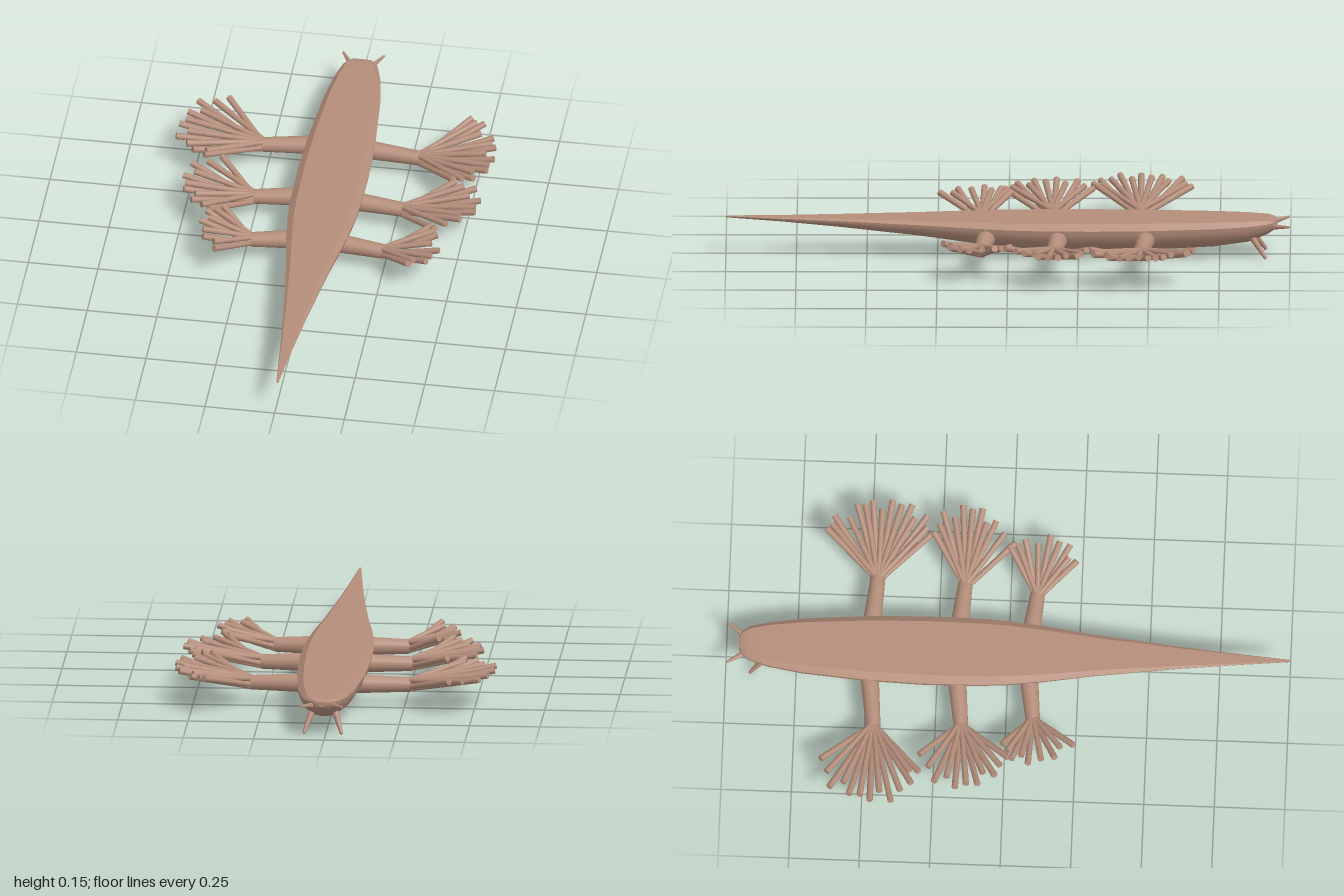
import * as THREE from 'three';
import { toCreasedNormals } from 'three/addons/utils/BufferGeometryUtils.js';

const skin = new THREE.MeshStandardMaterial({ color: 0xb48d7a });
skin.name = 'dusty pink skin';
const CX = 0.01; // body centre line
const V = (x, y, z) => new THREE.Vector3(x, y, z);

// Tapered round rod between two points
function rod(name, a, b, ra, rb, sides = 10) {
  const geo = new THREE.CylinderGeometry(rb, ra, a.distanceTo(b), sides);
  const mesh = new THREE.Mesh(geo, skin);
  mesh.name = name;
  mesh.position.copy(a).add(b).multiplyScalar(0.5);
  mesh.quaternion.setFromUnitVectors(V(0, 1, 0), b.clone().sub(a).normalize());
  return mesh;
}

// Body: flat back, rounded belly, stations of [z, half width, bottom y, top y]
function makeBody() {
  const stations = [
    [-0.955, 0.022, 0.108, 0.128], [-0.945, 0.042, 0.095, 0.134], [-0.92, 0.062, 0.078, 0.137],
    [-0.85, 0.082, 0.05, 0.138], [-0.73, 0.101, 0.034, 0.138], [-0.5, 0.12, 0.022, 0.138],
    [-0.3, 0.127, 0.02, 0.138], [-0.1, 0.125, 0.025, 0.138], [0, 0.119, 0.033, 0.138],
    [0.13, 0.104, 0.047, 0.138], [0.3, 0.078, 0.07, 0.138], [0.6, 0.042, 0.102, 0.138],
    [0.8, 0.022, 0.12, 0.138], [1, 0.004, 0.134, 0.14],
  ];
  const belly = 18, pos = [], idx = [];
  for (const [z, w, lo, hi] of stations) {
    const mid = hi - 0.18 * (hi - lo);
    pos.push(CX + 0.8 * w, hi, z, CX - 0.8 * w, hi, z);
    for (let k = 0; k <= belly; k++) {
      const t = Math.PI * (1 + k / belly);
      pos.push(CX + w * Math.cos(t), mid + (mid - lo) * Math.sin(t), z);
    }
  }
  const n = belly + 3, last = (stations.length - 1) * n;
  for (let i = 0; i < stations.length - 1; i++) {
    for (let j = 0; j < n; j++) {
      const a = i * n + j, b = i * n + (j + 1) % n;
      idx.push(a, b, b + n, a, b + n, a + n);
    }
  }
  for (let j = 1; j < n - 1; j++) {
    idx.push(0, j + 1, j, last, last + j, last + j + 1);
  }
  const geo = new THREE.BufferGeometry();
  geo.setAttribute('position', new THREE.Float32BufferAttribute(pos, 3));
  geo.setIndex(idx);
  const mesh = new THREE.Mesh(toCreasedNormals(geo, 0.6), skin);
  mesh.name = 'body';
  return mesh;
}

// Arm with a fan of fingers; ends are [x, z] of the long fingers
function makeArm(name, rootX, rootZ, tipX, tipZ, ends) {
  const arm = new THREE.Group();
  arm.name = name;
  arm.add(rod('armStem', V(rootX, 0.082, rootZ), V(tipX, 0.077, tipZ), 0.034, 0.026, 16));
  const finger = (x, z, y, rootY) => {
    const d = V(x - tipX, 0, z - tipZ).normalize();
    const root = V(tipX - Math.sign(tipX) * 0.012, rootY, tipZ).addScaledVector(d, 0.012);
    arm.add(rod('finger', root, V(x, y, z), 0.009, 0.0115));
  };
  ends.forEach(([x, z], i) => {
    finger(x, z, 0.134, i % 2 ? 0.062 : 0.07);
    // Shorter upper finger between each neighbouring pair
    if (i + 1 < ends.length) {
      const mx = (x + ends[i + 1][0]) / 2, mz = (z + ends[i + 1][1]) / 2;
      const s = i % 2 ? 0.88 : 0.97;
      finger(tipX + (mx - tipX) * s, tipZ + (mz - tipZ) * s, 0.13, 0.092);
    }
  });
  return arm;
}

export function createModel() {
  const model = new THREE.Group();
  model.name = 'seaSlug';
  model.add(makeBody());

  // Three pairs of arms, the rear pair the largest
  model.add(
    makeArm('rearLeftArm', 0.09, -0.49, 0.295, -0.472, [[0.45, -0.66], [0.5, -0.635], [0.545, -0.555],
      [0.56, -0.5], [0.565, -0.43], [0.55, -0.36], [0.51, -0.305], [0.44, -0.29]]),
    makeArm('rearRightArm', -0.07, -0.49, -0.27, -0.468, [[-0.42, -0.65], [-0.525, -0.615], [-0.55, -0.545],
      [-0.57, -0.47], [-0.57, -0.395], [-0.5, -0.325], [-0.455, -0.3]]),
    makeArm('middleLeftArm', 0.09, -0.18, 0.28, -0.162, [[0.45, -0.28], [0.53, -0.25], [0.555, -0.18],
      [0.545, -0.11], [0.5, -0.06], [0.42, 0.01]]),
    makeArm('middleRightArm', -0.07, -0.18, -0.255, -0.158, [[-0.39, -0.3], [-0.49, -0.245], [-0.51, -0.17],
      [-0.495, -0.09], [-0.46, -0.03], [-0.39, 0.015]]),
    makeArm('frontLeftArm', 0.08, 0.075, 0.25, 0.095, [[0.41, -0.01], [0.435, 0.045], [0.455, 0.135],
      [0.42, 0.205], [0.36, 0.23]]),
    makeArm('frontRightArm', -0.06, 0.075, -0.225, 0.096, [[-0.34, -0.01], [-0.395, 0.025], [-0.41, 0.085],
      [-0.385, 0.18], [-0.335, 0.245]]),
  );

  // Feelers at the head
  for (const s of [1, -1]) {
    model.add(
      rod('upperFeeler', V(CX + s * 0.03, 0.11, -0.93), V(CX + s * 0.074, 0.12, -0.997), 0.011, 0.004),
      rod('lowerFeeler', V(CX + s * 0.04, 0.075, -0.865), V(CX + s * 0.067, 0.003, -0.914), 0.013, 0.006),
    );
  }
  return model;
}
